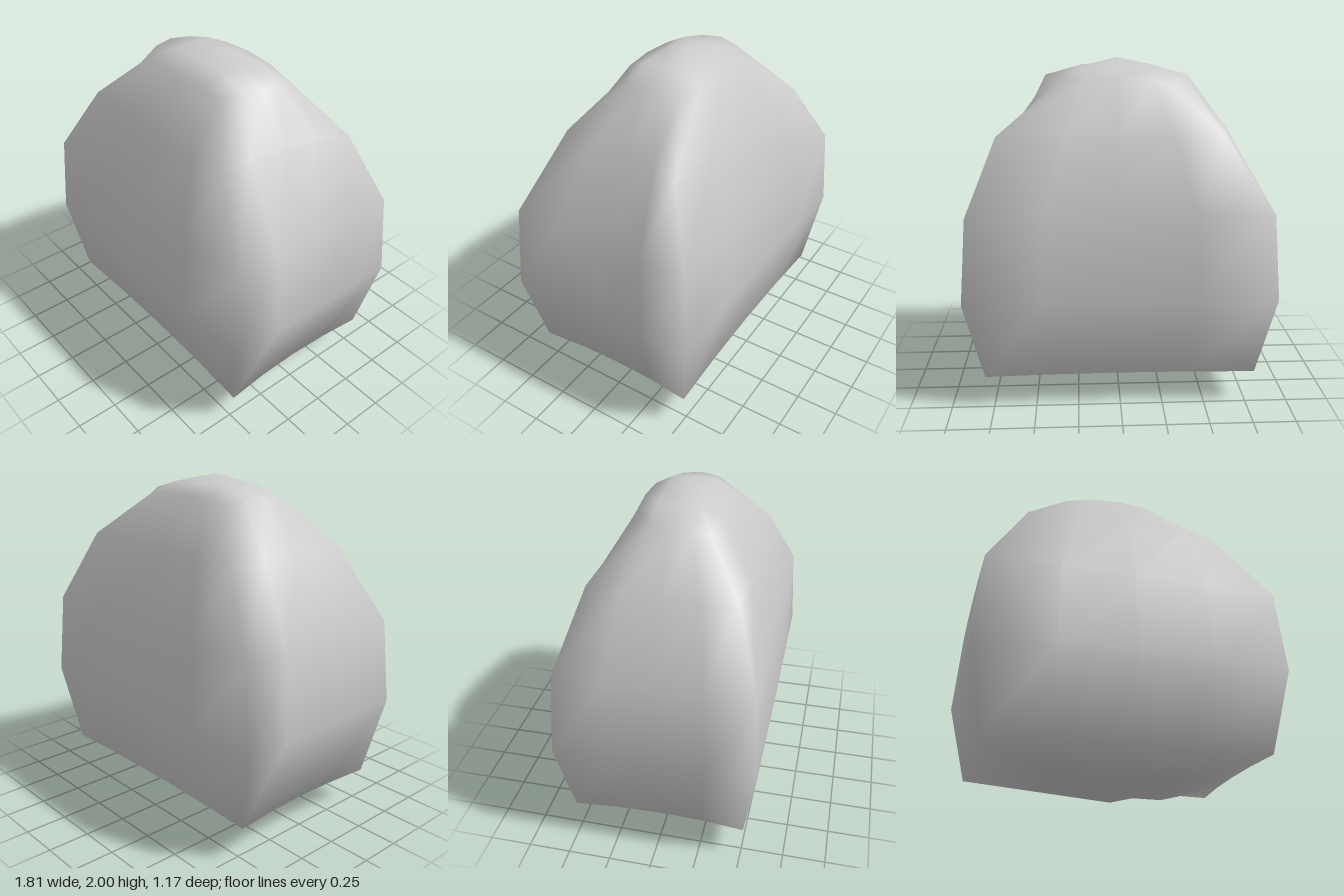
import * as THREE from 'three';
import { mergeVertices } from 'three/addons/utils/BufferGeometryUtils.js';

// Levels from bottom to top: height, half width, half depth, corner rounding
const LEVELS = [
  [0.20, 0.795, 0.51, 0.0],
  [0.68, 0.905, 0.585, 0.005],
  [1.18, 0.865, 0.56, 0.005],
  [1.60, 0.64, 0.43, 0.04],
  [1.90, 0.42, 0.245, 0.17],
];

export function createModel() {
  const group = new THREE.Group();
  group.name = 'rock';

  // A coarse box whose rows are reshaped into a boulder
  const box = new THREE.BoxGeometry(2, 2, 2, 4, 4, 4);
  box.deleteAttribute('normal');
  box.deleteAttribute('uv');
  const geometry = mergeVertices(box);
  const pos = geometry.attributes.position;

  for (let i = 0; i < pos.count; i++) {
    const u = pos.getX(i), w = pos.getZ(i);
    const row = Math.round((pos.getY(i) + 1) * 2);
    const [height, halfX, halfZ, round] = LEVELS[row];
    const corner = u * u * w * w;
    const inset = 1 - round * corner;
    let x = u * halfX * inset, y = height, z = w * halfZ * inset;

    // The caps rise and sink to blunt points, and the top corners droop
    const toCentre = 1 - Math.max(Math.abs(u), Math.abs(w));
    if (row === 4) y += 0.1 * toCentre - 0.03 * corner;
    if (row === 0) y -= 0.2 * toCentre;

    // Two opposite top corners are worn further back along the crest
    if (row === 4 && u * w > 0) x -= Math.sign(u) * 0.07 * corner;

    // Uneven shoulder: the left side is hollow towards the front,
    // and the back slants in towards the left
    if (row === 3 && u === 1) x = 0.575 - 0.07 * w + 0.045 * w * w;
    if (row === 3 && u === -1 && w === -1) x += 0.03;
    if (row === 3 && w === -1) z = -0.405 + 0.02 * u;

    // Slight hollows along the back and the lower edges
    if (w === -1 && row > 0 && row < 3) z += 0.015 * (1 - u * u);
    if (row === 0 && Math.abs(u) === 1) x -= u * 0.03 * (1 - w * w);
    if (row === 0 && Math.abs(w) === 1) z -= w * 0.02 * (1 - u * u);
    pos.setXYZ(i, x, y, z);
  }
  geometry.computeVertexNormals();

  const rock = new THREE.Mesh(geometry, new THREE.MeshStandardMaterial({ color: 0xcccccc }));
  rock.name = 'boulder';
  group.add(rock);
  return group;
}
